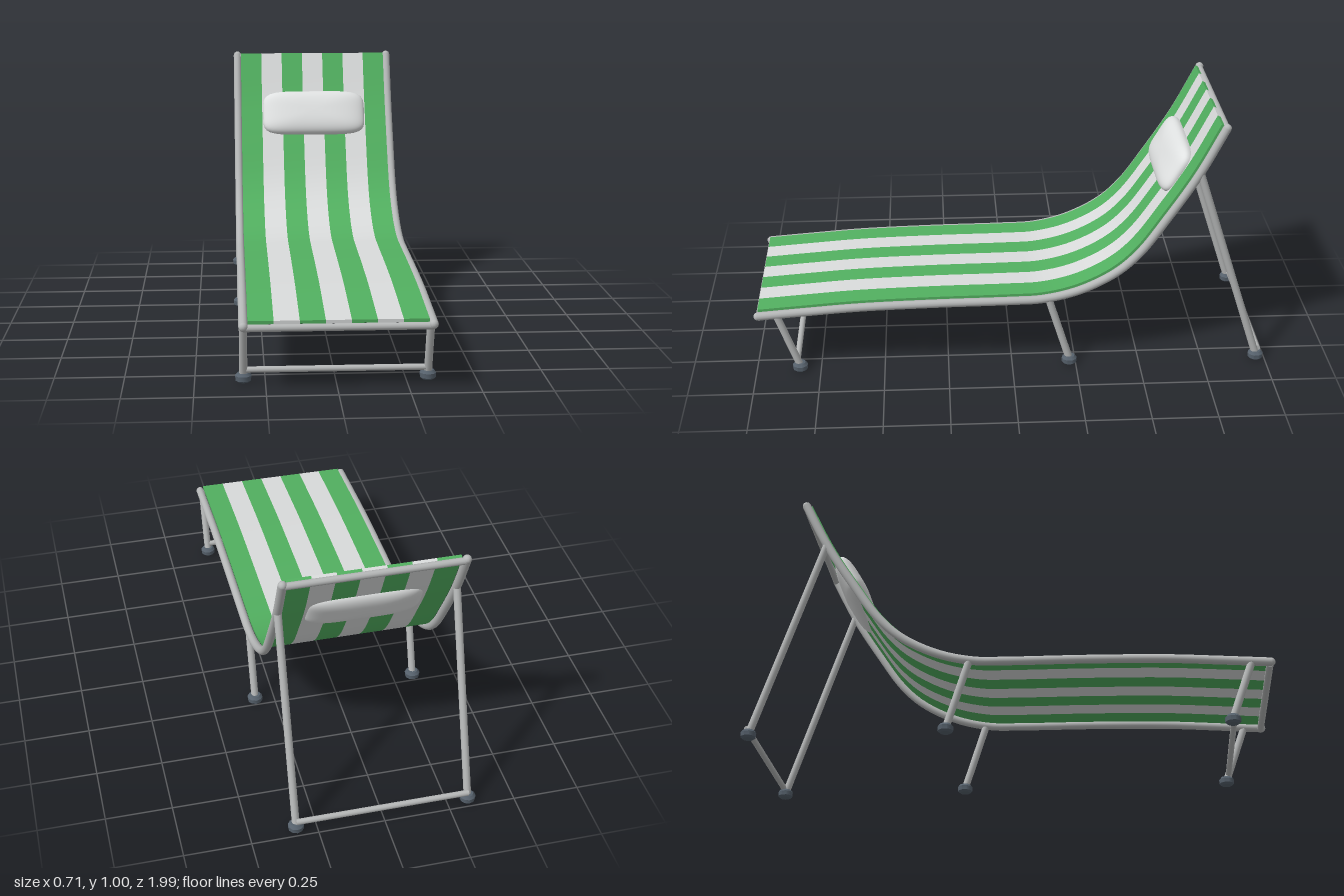
import * as THREE from 'three';
import { toCreasedNormals } from 'three/addons/utils/BufferGeometryUtils.js';

const mat = (name, color) => {
  const m = new THREE.MeshStandardMaterial({ color });
  m.name = name;
  return m;
};

export function createModel() {
  const metal = mat('frame metal', 0xb6b8b8);
  const green = mat('green fabric', 0x52b060);
  const white = mat('white fabric', 0xd9dbdb);
  const cushion = mat('pillow fabric', 0xe0e2e2);
  const rubber = mat('foot rubber', 0x56616c);

  const model = new THREE.Group();
  model.name = 'sunLounger';
  const add = (name, geometry, material, parent = model) => {
    const mesh = new THREE.Mesh(geometry, material);
    mesh.name = name;
    parent.add(mesh);
    return mesh;
  };
  const V = (x, y, z) => new THREE.Vector3(x, y, z);

  // straight round bar between two points
  const bar = (name, a, b, radius) => {
    const mesh = add(name, new THREE.CylinderGeometry(radius, radius, a.distanceTo(b), 12), metal);
    mesh.position.copy(a).add(b).multiplyScalar(0.5);
    mesh.quaternion.setFromUnitVectors(V(0, 1, 0), b.clone().sub(a).normalize());
    return mesh;
  };

  // side profile of the frame as [z, y], from foot end to head end
  const profile = [
    [0.982, 0.245], [0.8, 0.259], [0.6, 0.273], [0.3, 0.282], [0, 0.286], [-0.12, 0.291],
    [-0.26, 0.325], [-0.4, 0.398], [-0.49, 0.482], [-0.59, 0.625], [-0.7, 0.8], [-0.797, 0.991],
  ];
  const railX = 0.328, railR = 0.0165;
  const curveAt = x => new THREE.CatmullRomCurve3(profile.map(([z, y]) => V(x, y, z)));

  // side rails with rounded ends
  for (const s of [-1, 1]) {
    const side = s > 0 ? 'left' : 'right';
    const curve = curveAt(s * railX);
    add(side + 'Rail', new THREE.TubeGeometry(curve, 72, railR, 12), metal);
    for (const t of [0, 1]) {
      add(side + 'RailEnd', new THREE.SphereGeometry(railR, 12, 8), metal).position.copy(curve.getPoint(t));
    }
  }
  bar('footEndBar', V(-railX, 0.239, 0.978), V(railX, 0.239, 0.978), 0.0135);
  bar('headEndBar', V(-railX, 0.985, -0.797), V(railX, 0.985, -0.797), 0.0135);

  // fabric cross-section: the profile pushed out along its normal
  const curve = curveAt(0);
  const top = [], bottom = [];
  for (let i = 0; i <= 64; i++) {
    const p = curve.getPointAt(i / 64), t = curve.getTangentAt(i / 64);
    const u = -p.z, nu = -t.y, nv = -t.z;
    top.push(new THREE.Vector2(u + nu * 0.021, p.y + nv * 0.021));
    bottom.unshift(new THREE.Vector2(u + nu * 0.009, p.y + nv * 0.009));
  }
  const section = new THREE.Shape([...top, ...bottom]);

  // seven lengthwise stripes
  const stripes = 7, clothWidth = 0.626, w = clothWidth / stripes;
  const fabric = new THREE.Group();
  fabric.name = 'fabric';
  model.add(fabric);
  for (let i = 0; i < stripes; i++) {
    const g = new THREE.ExtrudeGeometry(section, { depth: w, bevelEnabled: false, steps: 1 });
    g.rotateY(Math.PI / 2);
    g.translate(-clothWidth / 2 + i * w, 0, 0);
    add(i % 2 ? 'whiteStripe' : 'greenStripe', toCreasedNormals(g, 0.6), i % 2 ? white : green, fabric);
  }

  // legs as [name, top z, top y, foot z, radius]
  const legs = [
    ['frontLeg', 0.912, 0.25, 0.83, 0.0145],
    ['middleLeg', -0.142, 0.288, -0.225, 0.0145],
    ['backLeg', -0.708, 0.81, -0.965, 0.0145],
  ];
  const footProfile = [[0, 0.003], [0.02, 0.003], [0.029, 0.01], [0.03, 0.027], [0.021, 0.037], [0, 0.037]]
    .map(([r, y]) => new THREE.Vector2(r, y));
  for (const [name, z, y, footZ, r] of legs) {
    for (const s of [-1, 1]) {
      bar(name, V(s * railX, y, z), V(s * railX, 0.022, footZ), r);
      const foot = toCreasedNormals(new THREE.LatheGeometry(footProfile, 10), 0.65);
      add(name + 'Foot', foot, rubber).position.set(s * railX, 0, footZ);
    }
  }
  // braces between the front and the back pair of legs
  bar('frontBrace', V(-railX, 0.05, 0.839), V(railX, 0.05, 0.839), 0.0115);
  bar('backBrace', V(-railX, 0.045, -0.972), V(railX, 0.045, -0.972), 0.0115);

  // pillow: a sphere squared off into a soft cushion
  const pg = new THREE.SphereGeometry(1, 64, 32);
  pg.rotateX(Math.PI / 2);
  const pos = pg.attributes.position;
  for (let i = 0; i < pos.count; i++) {
    const x = pos.getX(i), y = pos.getY(i), z = pos.getZ(i);
    const r = Math.hypot(x, y) || 1e-6;
    const k = Math.pow(Math.pow(Math.abs(x / r), 5) + Math.pow(Math.abs(y / r), 5), -1 / 5);
    const rr = Math.pow(r, 0.75) * k / r;
    pos.setXYZ(i, x * rr * 0.22, y * rr * 0.1, Math.sign(z) * Math.pow(Math.abs(z), 0.85) * 0.046);
  }
  pg.computeVertexNormals();
  const pillow = add('pillow', pg, cushion);
  pillow.position.set(0, 0.752, -0.642);
  pillow.rotation.x = -0.52;

  return model;
}
